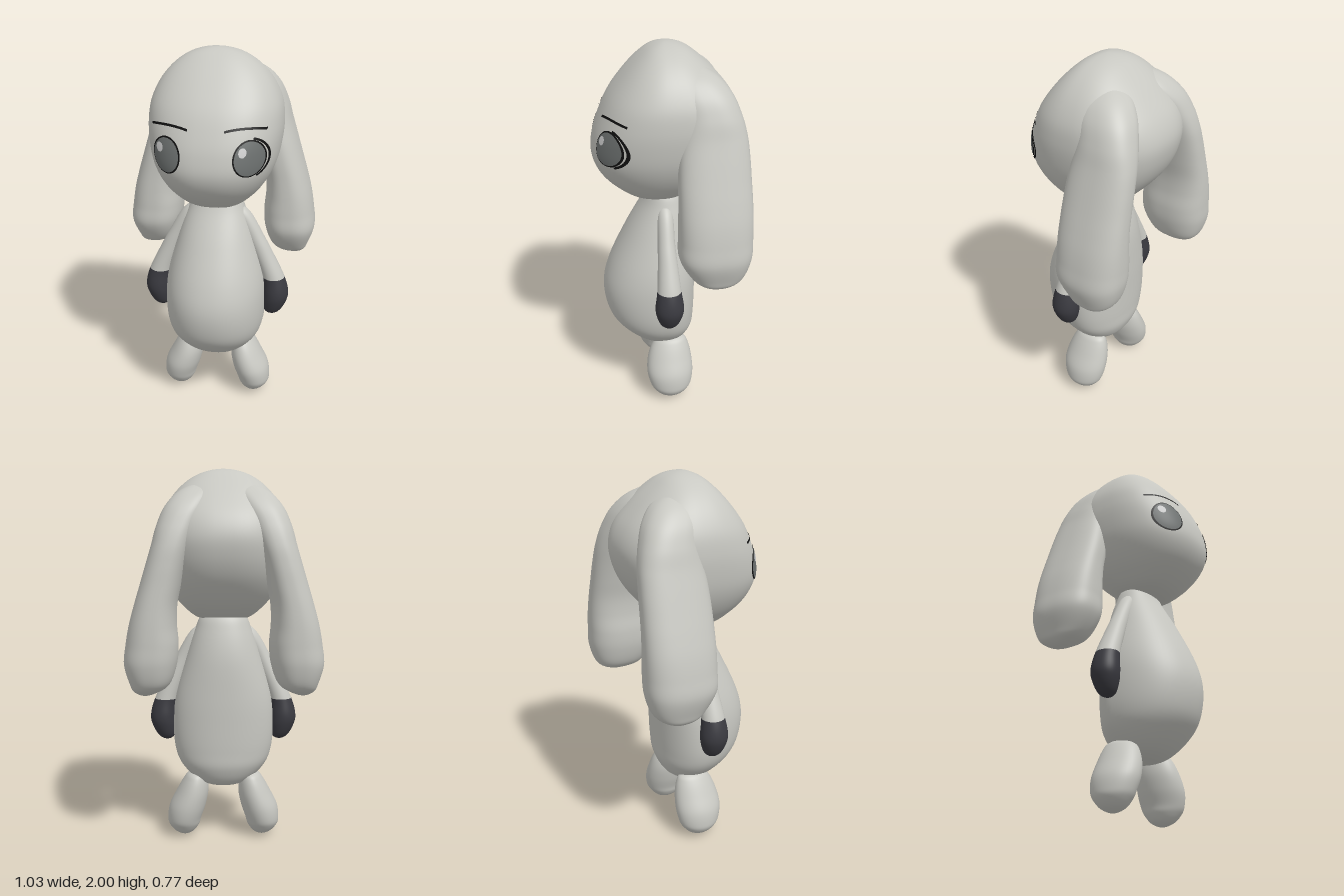
import * as THREE from 'three';

const mat = (name, color) => Object.assign(new THREE.MeshStandardMaterial({ color }), { name });

// Smoothly interpolated cross-section at t; the ends are rounded poles.
// Section: [y, centreX, centreZ, halfWidth, frontDepth, backDepth]
function sample(secs, t) {
  const n = secs.length;
  const i = Math.min(Math.floor(t), n - 2), u = t - i;
  const get = k => {
    if (k >= 0 && k < n) return secs[k];
    const s = k < 0 ? secs[1] : secs[n - 2];
    return s.map((v, c) => (c > 2 ? -v : v));
  };
  const [p, q, r, s] = [get(i - 1), get(i), get(i + 1), get(i + 2)];
  return q.map((b, c) => b + 0.5 * u * (r[c] - p[c]
    + u * (2 * p[c] - 5 * b + 4 * r[c] - s[c] + u * (3 * (b - r[c]) + s[c] - p[c]))));
}

// Skin over superelliptic rings; an optional section index splits the colours
function loft(secs, power = 2, splitAt = 0, segs = 64, steps = 7) {
  const rows = (secs.length - 1) * steps;
  const pos = [], idx = [];
  const pw = v => Math.sign(v) * Math.pow(Math.abs(v), 2 / power);
  for (let i = 0; i <= rows; i++) {
    const [y, cx, cz, w, f, b] = sample(secs, i / steps);
    for (let j = 0; j < segs; j++) {
      const a = j / segs * Math.PI * 2;
      const s = Math.sin(a);
      pos.push(cx + w * pw(Math.cos(a)), y, cz + (s > 0 ? f : b) * pw(s));
    }
  }
  for (let i = 0; i < rows; i++) {
    for (let j = 0; j < segs; j++) {
      const k = (j + 1) % segs;
      const a = i * segs + j, b = a + segs, c = i * segs + k, d = c + segs;
      idx.push(a, b, c, b, d, c);
    }
  }
  const g = new THREE.BufferGeometry();
  g.setAttribute('position', new THREE.Float32BufferAttribute(pos, 3));
  g.setIndex(idx);
  g.computeVertexNormals();
  if (splitAt) {
    const cut = splitAt * steps * segs * 6;
    g.addGroup(0, cut, 0);
    g.addGroup(cut, idx.length - cut, 1);
  }
  return g;
}

const HEAD_POWER = 2.4;
const HEAD = [
  [1.19, 0, 0.04, 0, 0, 0],
  [1.215, 0, 0.03, 0.13, 0.14, 0.10],
  [1.28, 0, 0.01, 0.215, 0.26, 0.18],
  [1.36, 0, 0, 0.275, 0.345, 0.25],
  [1.45, 0, 0, 0.315, 0.38, 0.315],
  [1.55, 0, 0, 0.335, 0.37, 0.355],
  [1.65, 0, 0, 0.34, 0.335, 0.365],
  [1.75, 0, 0, 0.325, 0.285, 0.33],
  [1.85, 0, 0, 0.275, 0.21, 0.25],
  [1.93, 0, 0, 0.20, 0.135, 0.165],
  [1.98, 0, 0, 0.11, 0.07, 0.09],
  [2.0, 0, 0, 0, 0, 0],
];

// Front surface of the head at (x, y)
function headZ(x, y) {
  let lo = 0, hi = HEAD.length - 1;
  for (let k = 0; k < 30; k++) {
    const m = (lo + hi) / 2;
    if (sample(HEAD, m)[0] < y) lo = m; else hi = m;
  }
  const [, , cz, w, f] = sample(HEAD, lo);
  return cz + f * Math.pow(Math.max(0, 1 - Math.pow(Math.abs(x / w), HEAD_POWER)), 1 / HEAD_POWER);
}

// Lay a flat geometry onto the face, lifted slightly
function onFace(geo, lift) {
  const p = geo.attributes.position;
  for (let i = 0; i < p.count; i++) {
    const x = p.getX(i), y = p.getY(i);
    p.setXYZ(i, x * (1 + lift), y, headZ(x, y) * (1 + lift));
  }
  geo.computeVertexNormals();
  return geo;
}

function ellipse(x, y, rx, ry, lift, inner = 0.001, start = 0, sweep = Math.PI * 2) {
  const g = new THREE.RingGeometry(inner, 1, 48, 8, start, sweep);
  return onFace(g.scale(rx, ry, 1).translate(x, y, 0), lift);
}

export function createModel() {
  const model = new THREE.Group();
  model.name = 'longEaredDoll';
  const skin = mat('pale grey', 0xc8c8c2);
  const glove = mat('charcoal', 0x3a3a40);
  const iris = mat('eye grey', 0x6e7271);
  const shine = mat('eye shine', 0xd0d0d0);
  const ink = mat('black line', 0x101010);
  ink.side = THREE.DoubleSide;
  const add = (name, geo, material) => {
    const m = new THREE.Mesh(geo, material);
    m.name = name;
    model.add(m);
  };

  add('head', loft(HEAD, HEAD_POWER), skin);

  // Pear-shaped torso, fuller in front
  add('body', loft([
    [0.28, 0, 0.02, 0, 0, 0],
    [0.31, 0, 0.02, 0.13, 0.12, 0.11],
    [0.40, 0, 0.02, 0.225, 0.23, 0.165],
    [0.50, 0, 0.02, 0.265, 0.30, 0.175],
    [0.65, 0, 0.02, 0.275, 0.325, 0.178],
    [0.80, 0, 0.02, 0.26, 0.29, 0.178],
    [1.00, 0, 0.02, 0.205, 0.195, 0.17],
    [1.15, 0, 0.01, 0.155, 0.12, 0.13],
    [1.24, 0, 0.01, 0.11, 0.07, 0.09],
    [1.28, 0, 0.01, 0, 0, 0],
  ], 2.15), skin);

  const EAR = [
    [0.83, 0.41, -0.21, 0, 0],
    [0.855, 0.40, -0.21, 0.065, 0.085],
    [0.90, 0.382, -0.21, 0.105, 0.14],
    [1.00, 0.379, -0.198, 0.136, 0.183],
    [1.10, 0.37, -0.198, 0.135, 0.187],
    [1.20, 0.365, -0.198, 0.122, 0.186],
    [1.30, 0.35, -0.197, 0.11, 0.183],
    [1.40, 0.325, -0.195, 0.105, 0.18],
    [1.50, 0.298, -0.195, 0.102, 0.175],
    [1.60, 0.268, -0.195, 0.102, 0.165],
    [1.70, 0.235, -0.185, 0.108, 0.15],
    [1.80, 0.19, -0.15, 0.11, 0.14],
    [1.88, 0.14, -0.11, 0.085, 0.10],
    [1.93, 0.10, -0.08, 0, 0],
  ];
  const ARM = [
    [0.54, 0.31, 0.025, 0, 0],
    [0.56, 0.313, 0.025, 0.042, 0.042],
    [0.62, 0.325, 0.025, 0.065, 0.068],
    [0.68, 0.33, 0.025, 0.07, 0.075],
    [0.77, 0.315, 0.025, 0.061, 0.063],
    [0.90, 0.26, 0.025, 0.054, 0.052],
    [1.00, 0.212, 0.025, 0.05, 0.045],
    [1.14, 0.135, 0.02, 0.045, 0.038],
    [1.19, 0.10, 0.02, 0, 0],
  ];
  const LEG = [
    [0, 0.213, 0, 0, 0],
    [0.02, 0.215, 0, 0.05, 0.06],
    [0.06, 0.218, 0, 0.083, 0.098],
    [0.10, 0.216, 0, 0.093, 0.118],
    [0.17, 0.199, 0.002, 0.10, 0.13],
    [0.25, 0.172, 0, 0.088, 0.122],
    [0.32, 0.155, -0.005, 0.066, 0.10],
    [0.355, 0.15, -0.01, 0.042, 0.07],
    [0.37, 0.148, -0.015, 0, 0],
  ];

  for (const [side, s] of [['left', 1], ['right', -1]]) {
    const place = secs => secs.map(([y, x, z, w, d]) => [y, x * s, z, w, d, d]);
    add(side + 'Ear', loft(place(EAR), 2.5), skin);
    add(side + 'ArmWithGlove', loft(place(ARM), 2, 4, 40), [glove, skin]);
    add(side + 'Leg', loft(place(LEG), 2, 0, 40), skin);

    // Eye: dark rim, iris and a small highlight
    const ex = s > 0 ? 0.206 : -0.192, ey = 1.54;
    add(side + 'EyeRim', ellipse(ex, ey, 0.075, 0.09, 0.008), ink);
    add(side + 'Iris', ellipse(ex, ey, 0.068, 0.083, 0.014), iris);
    add(side + 'EyeShine', ellipse(ex - 0.032, ey + 0.034, 0.018, 0.023, 0.02), shine);

    // Thin, slightly arched eyebrow
    const brow = new THREE.PlaneGeometry(0.19, 0.011, 30, 1).translate(0.183 * s, 1.68, 0);
    const bp = brow.attributes.position;
    for (let i = 0; i < bp.count; i++) {
      const u = (bp.getX(i) - 0.183 * s) / 0.095;
      bp.setY(i, bp.getY(i) - 0.012 * u * u);
    }
    add(side + 'Eyebrow', onFace(brow, 0.01), ink);
  }

  // Lash line around the outer edge of the left eye
  add('leftLash', ellipse(0.206, 1.54, 0.09, 0.1, 0.01, 0.9, -1.2, 2.6), ink);
  return model;
}
